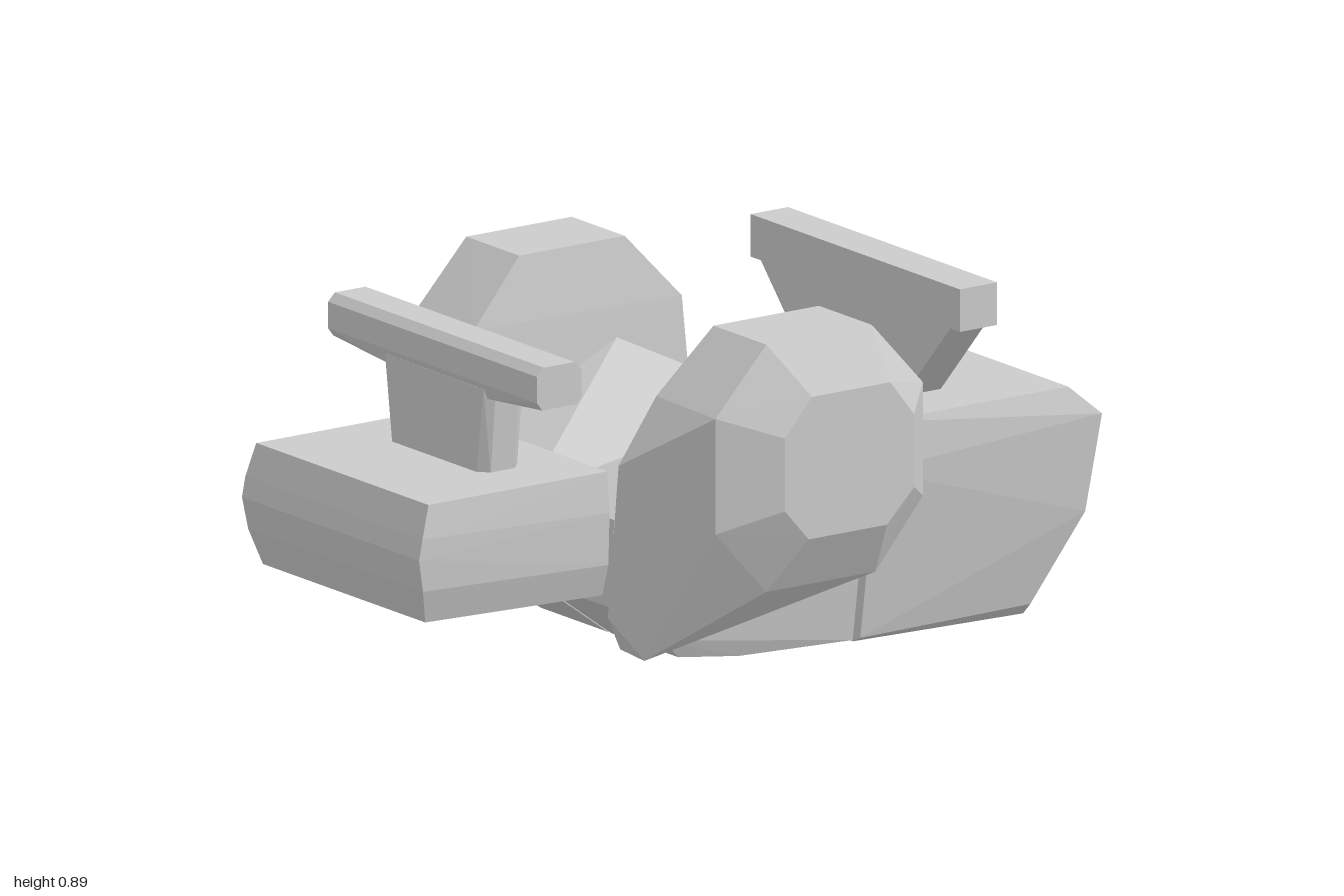
import * as THREE from 'three';
import { ConvexGeometry } from 'three/addons/geometries/ConvexGeometry.js';

const material = new THREE.MeshStandardMaterial({ color: 0xcccccc, flatShading: true });

function add(group, name, geometry) {
  const mesh = new THREE.Mesh(geometry, material);
  mesh.name = name;
  group.add(mesh);
  return mesh;
}

// Convex solid from corner points; side = -1 mirrors it across x.
function hull(points, side = 1) {
  return new ConvexGeometry(points.map(([x, y, z]) => new THREE.Vector3(x * side, y, z)));
}

// Doubles corner points across x for symmetric solids.
const both = (points) => points.flatMap(([x, y, z]) => [[x, y, z], [-x, y, z]]);

// Octagonal ring of points at one x, given as [z, y] pairs.
const ring = (x, pairs) => pairs.map(([z, y]) => [x, y, z]);

export function createModel() {
  const model = new THREE.Group();

  // Front block with a rounded nose
  add(model, 'frontBlock', hull(both([
    [0.35, 0.57, 0.44], [0.36, 0.47, 0.44], [0.355, 0.34, 0.44], [0.33, 0.26, 0.44],
    [0.35, 0.57, 0.965], [0.36, 0.49, 0.99], [0.36, 0.44, 1.0], [0.355, 0.36, 0.985], [0.33, 0.275, 0.96],
  ])));

  // Deep rear block with a sloping tail
  add(model, 'rearBlock', hull(both([
    [0.36, 0.57, -0.34], [0.365, 0.45, -0.34], [0.33, 0.22, -0.34], [0.3, 0.025, -0.34], [0.27, 0.01, -0.34],
    [0.35, 0.565, -0.915], [0.37, 0.49, -1.0], [0.35, 0.25, -0.965], [0.27, 0.0, -0.84], [0.3, 0.03, -0.84],
  ])));

  for (const side of [1, -1]) {
    const label = side > 0 ? 'left' : 'right';

    // Half of the middle body, rising toward its outer edge
    add(model, label + 'MiddleBody', hull([
      [0.008, 0.44, 0.405], [0.33, 0.44, 0.405], [0.33, 0.67, -0.08],
      [0.008, 0.47, -0.325], [0.33, 0.55, -0.325],
      [0.008, 0.22, 0.405], [0.315, 0.22, 0.405],
      [0.008, 0.055, 0.18], [0.28, 0.055, 0.18], [0.3, 0.11, 0.24],
      [0.008, 0.03, 0], [0.28, 0.03, 0],
      [0.008, 0.02, -0.325], [0.29, 0.02, -0.325], [0.32, 0.22, -0.325],
    ], side));

    // Faceted side pod: small outer octagon, large octagon, slanted inner rim
    add(model, label + 'Pod', hull([
      ...ring(0.685, [[0.09, 0.42], [-0.14, 0.42], [-0.22, 0.5], [-0.22, 0.68],
        [-0.15, 0.77], [0.08, 0.77], [0.16, 0.68], [0.16, 0.5]]),
      ...ring(0.61, [[0.16, 0.895], [-0.15, 0.895], [-0.3, 0.73], [-0.3, 0.45],
        [-0.16, 0.285], [0.16, 0.285], [0.31, 0.45], [0.31, 0.735]]),
      ...ring(0.395, [[0.16, 0.895], [-0.15, 0.895]]),
      ...ring(0.37, [[0.31, 0.74], [-0.3, 0.73]]),
      [0.355, 0.58, 0.41], [0.35, 0.5, -0.31],
      [0.325, 0.2, 0.42], [0.33, 0.2, -0.325],
      [0.32, 0.115, 0.38], [0.425, 0.11, 0.385],
    ], side));
  }

  // Front bar, bevelled, with a slightly deeper middle
  add(model, 'frontBar', hull(both([
    [0.425, 0.86, 0.57], [0.425, 0.88, 0.59], [0.425, 0.88, 0.68], [0.425, 0.86, 0.7],
    [0.425, 0.795, 0.7], [0.425, 0.775, 0.685], [0.425, 0.775, 0.585], [0.425, 0.79, 0.57],
    [0.2, 0.755, 0.585], [0.2, 0.755, 0.685],
  ])));

  // Tapered front stem
  add(model, 'frontStem', hull(both([
    [0.2, 0.78, 0.695], [0.215, 0.78, 0.67], [0.215, 0.78, 0.6], [0.2, 0.78, 0.58],
    [0.17, 0.56, 0.695], [0.195, 0.56, 0.67], [0.195, 0.56, 0.6], [0.17, 0.56, 0.575],
  ])));

  // Rear bar
  const bar = add(model, 'rearBar', new THREE.BoxGeometry(0.85, 0.105, 0.11));
  bar.position.set(0, 0.8275, -0.597);

  // Rear support: wide trapezoid split into two legs by a narrow notch
  const outline = [[-0.39, 0.78], [-0.19, 0.56], [-0.08, 0.56], [0, 0.72],
    [0.08, 0.56], [0.19, 0.56], [0.39, 0.78]];
  const shape = new THREE.Shape(outline.map(([x, y]) => new THREE.Vector2(x, y)));
  const legs = add(model, 'rearSupport',
    new THREE.ExtrudeGeometry(shape, { depth: 0.108, bevelEnabled: false }));
  legs.position.z = -0.651;

  return model;
}
